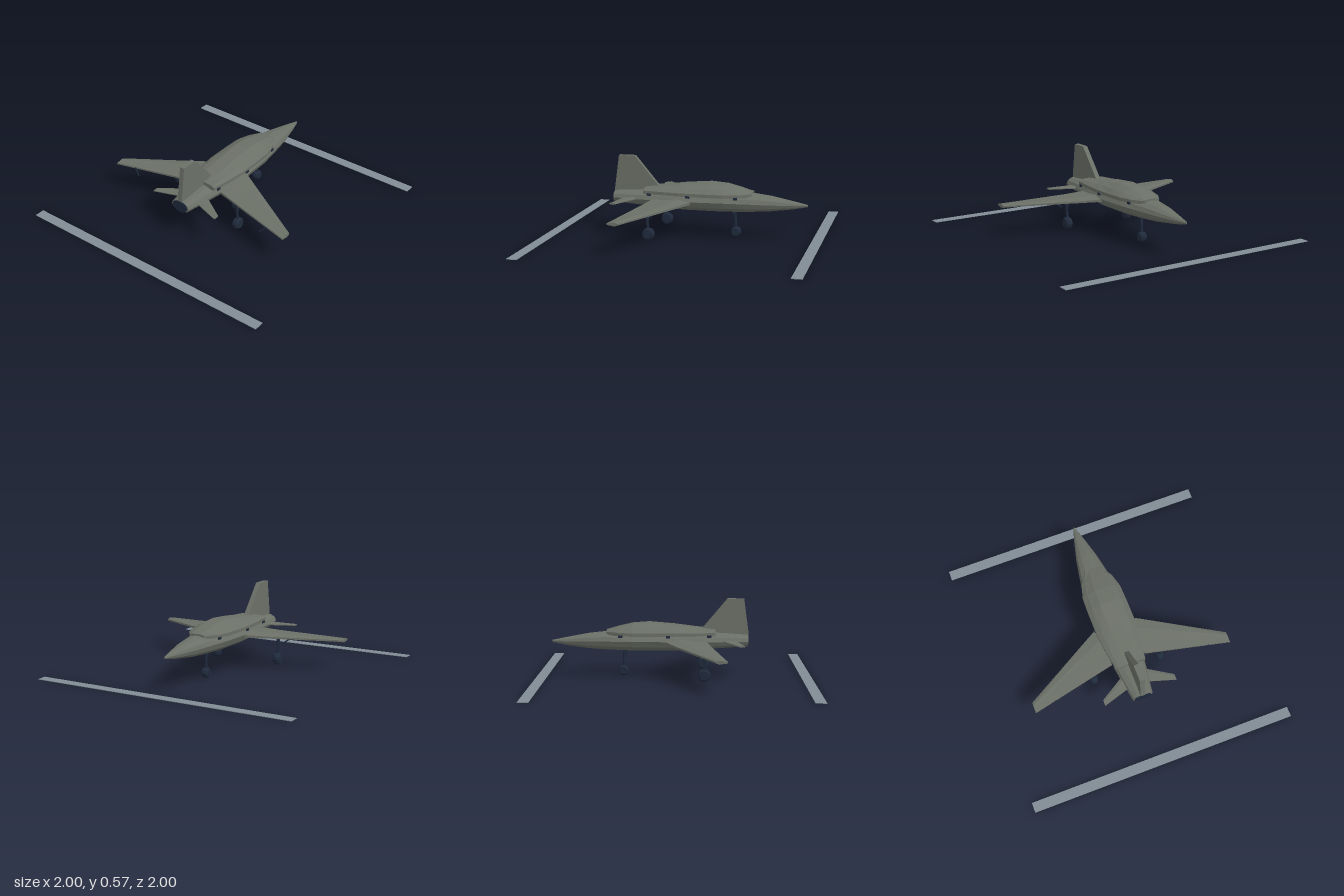
import * as THREE from 'three';

// Closed faceted skin over a row of equal-length rings of [x, y, z] points
function skin(rings) {
  const n = rings[0].length, pts = rings.flat(), tris = [];
  for (let i = 0; i < rings.length - 1; i++) {
    for (let j = 0; j < n; j++) {
      const a = i * n + j, b = i * n + (j + 1) % n;
      tris.push([a, b, b + n], [a, b + n, a + n]);
    }
  }
  const last = (rings.length - 1) * n;
  for (let j = 1; j < n - 1; j++) {
    tris.push([0, j + 1, j], [last, last + j, last + j + 1]);
  }
  // Turn all faces outward, whichever way the rings run
  const v = pts.map((p) => new THREE.Vector3(...p));
  const volume = tris.reduce((s, [a, b, c]) => s + v[a].dot(v[b].clone().cross(v[c])), 0);
  const order = volume < 0 ? tris.map(([a, b, c]) => [a, c, b]) : tris;
  const geo = new THREE.BufferGeometry().setFromPoints(order.flat().map((k) => v[k]));
  geo.computeVertexNormals();
  return geo;
}

export function createModel() {
  const model = new THREE.Group();
  const grey = new THREE.MeshStandardMaterial({ name: 'airframeGrey', color: 0x6b7067 });
  const dark = new THREE.MeshStandardMaterial({ name: 'darkNavy', color: 0x1f2a3c });
  const steel = new THREE.MeshStandardMaterial({ name: 'stripGrey', color: 0x818c94 });

  const add = (name, geo, mat, x = 0, y = 0, z = 0, parent = model) => {
    const mesh = new THREE.Mesh(geo, mat);
    mesh.name = name;
    mesh.position.set(x, y, z);
    parent.add(mesh);
    return mesh;
  };

  // Round bar between two points
  const bar = (name, a, b, r, parent = model) => {
    const p = new THREE.Vector3(...a), q = new THREE.Vector3(...b);
    const mesh = add(name, new THREE.CylinderGeometry(r, r, p.distanceTo(q), 8), dark, 0, 0, 0, parent);
    mesh.position.copy(p).lerp(q, 0.5);
    mesh.quaternion.setFromUnitVectors(new THREE.Vector3(0, 1, 0), q.sub(p).normalize());
    return mesh;
  };

  // Fuselage: z, half width, bottom, widest level, top
  const hull = [
    [-0.89, 0.006, 0.248, 0.256, 0.264],
    [-0.79, 0.036, 0.226, 0.258, 0.285],
    [-0.62, 0.08, 0.203, 0.262, 0.317],
    [-0.48, 0.105, 0.193, 0.266, 0.332],
    [-0.3, 0.135, 0.186, 0.27, 0.335],
    [0, 0.145, 0.187, 0.268, 0.335],
    [0.2, 0.125, 0.197, 0.265, 0.33],
    [0.35, 0.105, 0.207, 0.263, 0.323],
    [0.54, 0.076, 0.219, 0.263, 0.31],
  ];
  add('fuselage', skin(hull.map(([z, w, lo, mid, hi]) => Array.from({ length: 12 }, (_, j) => {
    const a = (j / 12) * Math.PI * 2, s = Math.sin(a);
    return [Math.cos(a) * w, mid + s * (s > 0 ? hi - mid : mid - lo), z];
  }))), grey);

  // Raised back and canopy: z, outer half width, shoulder half width, shoulder level, top
  const back = [
    [-0.49, 0.06, 0.055, 0.338, 0.342],
    [-0.4, 0.118, 0.095, 0.347, 0.366],
    [-0.3, 0.146, 0.112, 0.36, 0.388],
    [-0.18, 0.15, 0.113, 0.366, 0.397],
    [0, 0.15, 0.111, 0.36, 0.382],
    [0.15, 0.135, 0.105, 0.35, 0.363],
    [0.3, 0.112, 0.094, 0.342, 0.347],
  ];
  add('canopyBack', skin(back.map(([z, w, r, sh, top]) => {
    const half = [[w, 0.308], [w, 0.332], [r, sh], [r * 0.45, top]];
    return [...half, ...half.map(([x, y]) => [-x, y]).reverse()].map(([x, y]) => [x, y, z]);
  })), grey);

  // Tail fin
  const fin = new THREE.Shape([[-0.54, 0.27], [-0.2, 0.3], [-0.2, 0.345], [-0.39, 0.57], [-0.51, 0.57], [-0.545, 0.31]]
    .map(([x, y]) => new THREE.Vector2(x, y)));
  const finGeo = new THREE.ExtrudeGeometry(fin, { depth: 0.036, bevelEnabled: false });
  finGeo.translate(0, 0, -0.018).rotateY(Math.PI / 2);
  add('tailFin', finGeo, grey);

  // Oval exhaust at the tail
  const nozzle = new THREE.CylinderGeometry(1, 1, 0.012, 20).rotateX(Math.PI / 2);
  nozzle.scale(0.064, 0.043, 1);
  add('exhaustNozzle', nozzle, dark, 0, 0.264, 0.54);

  // Thin aerofoil ring: x, leading z, trailing z, top, bottom
  const foil = (s, [x, zl, zt, hi, lo]) => {
    const mid = (hi + lo) / 2, at = (t) => zl + (zt - zl) * t, h = (hi - lo) * 0.2;
    return [[at(0), mid - h], [at(0), mid + h], [at(0.3), hi], [at(0.7), hi - h],
      [at(1), mid + h], [at(1), mid - h], [at(0.7), lo + h], [at(0.3), lo]]
      .map(([z, y]) => [s * x, y, z]);
  };

  // Gear wheel with rounded tread and a hub
  const wheel = (r, width, parent) => {
    const w = width / 2;
    const tyre = new THREE.LatheGeometry([[0, -w], [r * 0.75, -w], [r, -w * 0.5], [r, w * 0.5], [r * 0.75, w], [0, w]]
      .map(([x, y]) => new THREE.Vector2(x, y)), 12);
    add('tyre', tyre.rotateZ(Math.PI / 2).toNonIndexed(), dark, 0, r, 0, parent).geometry.computeVertexNormals();
    const hub = new THREE.CylinderGeometry(r * 0.4, r * 0.4, width + 0.006, 10);
    add('hub', hub.rotateZ(Math.PI / 2), dark, 0, r, 0, parent);
  };

  for (const s of [1, -1]) {
    const side = s > 0 ? 'left' : 'right';
    add(side + 'Wing', skin([
      [0.08, -0.09, 0.228, 0.288, 0.236],
      [0.26, 0.01, 0.265, 0.268, 0.232],
      [0.755, 0.29, 0.37, 0.237, 0.21],
    ].map((r) => foil(s, r))), grey);
    add(side + 'Tailplane', skin([
      [0.05, 0.325, 0.44, 0.278, 0.256],
      [0.275, 0.462, 0.507, 0.264, 0.25],
    ].map((r) => foil(s, r))), grey);

    // Small prongs under the wing
    bar(side + 'OuterProng', [s * 0.6, 0.235, 0.335], [s * 0.555, 0.19, 0.355], 0.005);
    bar(side + 'InnerProng', [s * 0.39, 0.228, 0.19], [s * 0.335, 0.187, 0.175], 0.005);

    // Dark side ports
    for (const [z, x] of [[0.255, 0.12], [-0.04, 0.15], [-0.385, 0.124]]) {
      add(side + 'Port', new THREE.BoxGeometry(0.009, 0.017, 0.03), dark, s * x, 0.306, z);
    }

    // Main landing gear
    const gear = new THREE.Group();
    gear.name = side + 'MainGear';
    gear.position.set(s * 0.262, 0.004, 0.218);
    model.add(gear);
    wheel(0.045, 0.05, gear);
    bar('strut', [0, 0.05, 0], [0, 0.23, 0.017], 0.01, gear);
    bar('brace', [0, 0.12, 0.005], [0, 0.225, -0.015], 0.006, gear);
    add('mount', new THREE.BoxGeometry(0.044, 0.03, 0.06), dark, 0, 0.214, 0.01, gear);
  }

  // Nose landing gear
  const noseGear = new THREE.Group();
  noseGear.name = 'noseGear';
  noseGear.position.set(0, 0.004, -0.37);
  model.add(noseGear);
  wheel(0.037, 0.05, noseGear);
  bar('strut', [0, 0.04, 0], [0, 0.2, 0.01], 0.01, noseGear);
  bar('brace', [0, 0.1, 0.004], [0, 0.195, 0.028], 0.006, noseGear);

  // Ground strips ahead and behind
  for (const z of [-0.9625, 0.9625]) {
    add('groundStrip', new THREE.BoxGeometry(2, 0.004, 0.075), steel, 0, 0.002, z);
  }
  return model;
}
